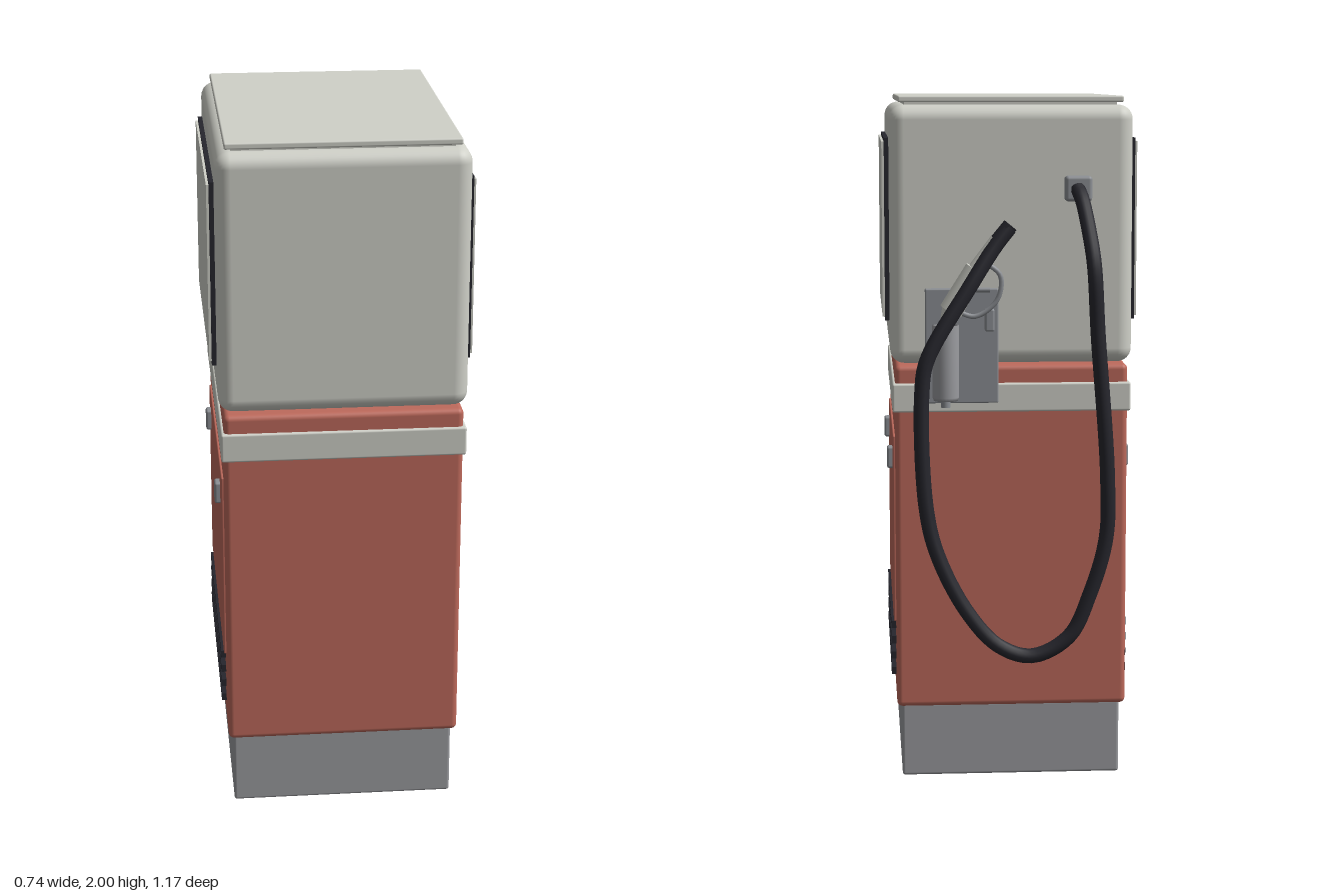
import * as THREE from 'three';
import { RoundedBoxGeometry } from 'three/addons/geometries/RoundedBoxGeometry.js';

const paint = (name, color) => {
  const m = new THREE.MeshStandardMaterial({ color });
  m.name = name;
  return m;
};

export function createModel() {
  const root = new THREE.Group();
  root.name = 'fuelDispenser';

  const white = paint('warmWhite', 0xd0d1c9);
  const red = paint('fadedRed', 0xbe6a5c);
  const grey = paint('plinthGrey', 0x9b9ca0);
  const steel = paint('steelGrey', 0x8d9095);
  const black = paint('rubberBlack', 0x26262d);
  const cupGrey = paint('cupGrey', 0x9b9ca0);
  cupGrey.side = THREE.DoubleSide;

  const add = (name, geometry, material, parent = root) => {
    const mesh = new THREE.Mesh(geometry, material);
    mesh.name = name;
    parent.add(mesh);
    return mesh;
  };
  // Box given by its limits on each axis, with optional rounded edges
  const block = (name, material, [x0, x1], [y0, y1], [z0, z1], r = 0) => {
    const s = [x1 - x0, y1 - y0, z1 - z0];
    const g = r ? new RoundedBoxGeometry(...s, 4, r) : new THREE.BoxGeometry(...s);
    const mesh = add(name, g, material);
    mesh.position.set((x0 + x1) / 2, (y0 + y1) / 2, (z0 + z1) / 2);
    return mesh;
  };
  const V = (p) => new THREE.Vector3(...p);
  // Cylinder running between two points
  const rod = (name, material, a, b, ra, rb = ra) => {
    const p = V(a), q = V(b), d = q.clone().sub(p);
    const mesh = add(name, new THREE.CylinderGeometry(rb, ra, d.length(), 20), material);
    mesh.position.copy(p).add(q).multiplyScalar(0.5);
    mesh.quaternion.setFromUnitVectors(new THREE.Vector3(0, 1, 0), d.normalize());
    return mesh;
  };

  // Cabinet stack
  block('plinth', grey, [-0.322, 0.322], [0, 0.22], [-0.338, 0.548], 0.008);
  block('lowerCabinet', red, [-0.337, 0.337], [0.218, 1.232], [-0.368, 0.575], 0.016);
  block('trimBand', white, [-0.345, 0.345], [1.097, 1.18], [-0.38, 0.583], 0.006);
  block('headCabinet', white, [-0.35, 0.35], [1.235, 1.975], [-0.368, 0.575], 0.042);
  block('lidNeck', white, [-0.305, 0.305], [1.96, 1.985], [-0.32, 0.53]);
  block('lid', white, [-0.323, 0.323], [1.982, 2], [-0.34, 0.548], 0.005);

  // Display, service door, latches and vents on both sides
  for (const s of [-1, 1]) {
    const side = s > 0 ? 'Right' : 'Left';
    const out = (a, b) => (s > 0 ? [a, b] : [-b, -a]);
    block('displayFrame' + side, black, out(0.33, 0.363), [1.355, 1.88], [-0.287, 0.492]);
    block('displayPanel' + side, white, out(0.362, 0.37), [1.365, 1.87], [-0.277, 0.482]);
    block('serviceDoor' + side, red, out(0.32, 0.344), [0.458, 1.015], [-0.288, 0.493], 0.004);
    for (const z of [-0.19, 0.4])
      block('doorLatch' + side, steel, out(0.33, 0.36), [0.905, 0.97], [z - 0.02, z + 0.02], 0.007);
    for (let i = 0; i < 4; i++) {
      const y = 0.298 + i * 0.047;
      block('vent' + side, black, out(0.32, 0.351), [y - 0.011, y + 0.011], [-0.25, 0.457]);
    }
  }

  // Nozzle holder on the back
  block('holderPlate', steel, [0.04, 0.25], [1.125, 1.455], [-0.392, -0.36], 0.004);
  block('holderHook', steel, [0.053, 0.08], [1.335, 1.4], [-0.427, -0.385], 0.006);
  rod('holderArm', black, [0.185, 1.345, -0.385], [0.185, 1.345, -0.445], 0.018);
  const cupProfile = [[0, 1.145], [0.034, 1.145], [0.038, 1.155], [0.038, 1.36], [0.032, 1.36], [0.032, 1.16]];
  const cup = add('nozzleCup',
    new THREE.LatheGeometry(cupProfile.map(([x, y]) => new THREE.Vector2(x, y)), 24), cupGrey);
  cup.position.set(0.195, 0, -0.472);

  // Nozzle: spout, body, grip and trigger guard
  rod('spout', steel, [0.195, 1.125, -0.472], [0.195, 1.38, -0.474], 0.014);
  rod('nozzleNeck', white, [0.195, 1.355, -0.474], [0.175, 1.42, -0.476], 0.018, 0.028);
  rod('nozzleBody', white, [0.18, 1.40, -0.476], [0.11, 1.52, -0.482], 0.034, 0.03);
  rod('nozzleGrip', white, [0.115, 1.51, -0.482], [0.05, 1.6, -0.486], 0.023, 0.021);
  const guardPath = new THREE.CatmullRomCurve3([
    [0.165, 1.40, -0.478], [0.11, 1.385, -0.478], [0.05, 1.43, -0.48], [0.04, 1.5, -0.482], [0.085, 1.54, -0.484],
  ].map(V));
  add('triggerGuard', new THREE.TubeGeometry(guardPath, 24, 0.007, 8), steel);
  rod('trigger', steel, [0.14, 1.46, -0.48], [0.07, 1.46, -0.48], 0.007);

  // Hose outlet and hanging hose
  block('hoseOutlet', steel, [-0.227, -0.15], [1.703, 1.775], [-0.41, -0.36], 0.01);
  const hosePath = new THREE.CatmullRomCurve3([
    [-0.185, 1.74, -0.4], [-0.195, 1.71, -0.435], [-0.21, 1.62, -0.495], [-0.22, 1.53, -0.54],
    [-0.23, 1.34, -0.553], [-0.258, 0.94, -0.563], [-0.255, 0.76, -0.565], [-0.21, 0.6, -0.567],
    [-0.15, 0.475, -0.567], [-0.045, 0.42, -0.567], [0.05, 0.45, -0.566], [0.14, 0.55, -0.565],
    [0.225, 0.72, -0.563], [0.256, 0.86, -0.56], [0.265, 1.18, -0.553], [0.25, 1.27, -0.55],
    [0.13, 1.47, -0.522], [0.055, 1.585, -0.497], [0.015, 1.635, -0.487],
  ].map(V), false, 'centripetal');
  add('hose', new THREE.TubeGeometry(hosePath, 140, 0.0215, 12), black);
  rod('hoseCoupling', black, [0.055, 1.59, -0.487], [0.012, 1.642, -0.486], 0.022);

  return root;
}
